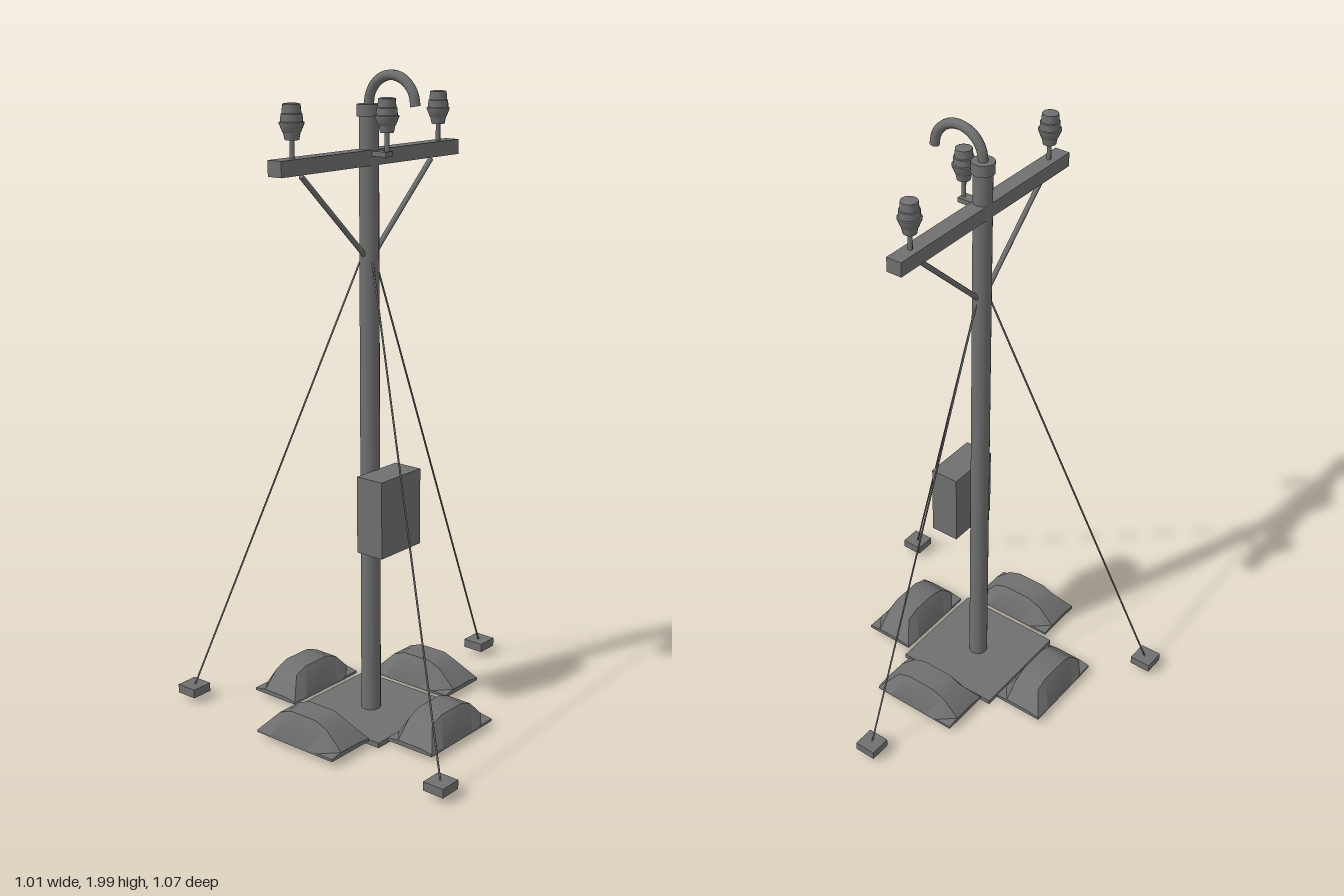
import * as THREE from 'three';
import { toCreasedNormals } from 'three/addons/utils/BufferGeometryUtils.js';

const darkGrey = new THREE.MeshStandardMaterial({ color: 0x6f6f6f });
const POLE_X = -0.11;

export function createModel() {
  const model = new THREE.Group();
  model.name = 'utilityPole';

  const add = (name, geometry, x = 0, y = 0, z = 0) => {
    const mesh = new THREE.Mesh(geometry, darkGrey);
    mesh.name = name;
    mesh.position.set(x, y, z);
    model.add(mesh);
    return mesh;
  };
  const box = (name, w, h, d, x, y, z) => add(name, new THREE.BoxGeometry(w, h, d), x, y, z);

  // Round bar between two points
  const bar = (name, from, to, radius, sides = 8) => {
    const a = new THREE.Vector3(...from);
    const b = new THREE.Vector3(...to);
    const dir = b.clone().sub(a);
    const mesh = add(name, new THREE.CylinderGeometry(radius, radius, dir.length(), sides));
    mesh.position.copy(a).add(b).multiplyScalar(0.5);
    mesh.quaternion.setFromUnitVectors(new THREE.Vector3(0, 1, 0), dir.normalize());
  };

  // Base plate, pole and cap
  box('basePlate', 0.36, 0.016, 0.36, POLE_X, 0.013, 0);
  add('pole', new THREE.CylinderGeometry(0.029, 0.031, 1.87, 16), POLE_X, 0.95, 0);
  add('poleCap', new THREE.CylinderGeometry(0.035, 0.035, 0.035, 16), POLE_X, 1.883, 0);

  // Crossarm with diagonal braces
  box('crossarm', 0.792, 0.045, 0.05, POLE_X, 1.75, 0);
  for (const s of [-1, 1]) {
    bar('crossarmBrace', [POLE_X + s * 0.015, 1.46, 0], [POLE_X + s * 0.29, 1.72, 0], 0.008);
  }

  // Stepped insulators on pins, widest below the middle
  const insulatorProfile = [
    [0, 0], [0.02, 0], [0.024, 0.02], [0.026, 0.022], [0.035, 0.044], [0.035, 0.048],
    [0.031, 0.05], [0.03, 0.07], [0.027, 0.072], [0.025, 0.096], [0.02, 0.098], [0, 0.098],
  ].map(([r, y]) => new THREE.Vector2(r, y));
  const insulatorShape = toCreasedNormals(new THREE.LatheGeometry(insulatorProfile, 16), 0.5);
  const insulator = (x, z) => {
    bar('insulatorPin', [x, 1.76, z], [x, 1.83, z], 0.007);
    add('insulator', insulatorShape, x, 1.823, z);
  };
  insulator(-0.435, 0);
  insulator(0.215, 0);
  insulator(POLE_X, 0.067);
  box('insulatorBracket', 0.035, 0.015, 0.055, POLE_X, 1.762, 0.048);

  // Curved service entry pipe on the pole top
  const points = [new THREE.Vector3(POLE_X, 1.84, 0)];
  for (let i = 0; i <= 8; i++) {
    const a = Math.PI * (1 - i / 8);
    points.push(new THREE.Vector3(POLE_X, 1.9 + 0.085 * Math.sin(a), 0.085 + 0.085 * Math.cos(a)));
  }
  const path = new THREE.CatmullRomCurve3(points);
  add('gooseneckPipe', new THREE.TubeGeometry(path, 24, 0.015, 10));
  const end = add('gooseneckEnd', new THREE.CircleGeometry(0.015, 10), POLE_X, 1.9, 0.17);
  end.rotation.x = Math.PI / 2;

  // Equipment box on the pole front
  box('equipmentBox', 0.184, 0.24, 0.096, POLE_X, 0.69, 0.073);

  // Guy wires and ground anchors
  for (const [x, z] of [[0.467, 0], [-0.4, 0.5], [-0.4, -0.5]]) {
    box('guyAnchor', 0.071, 0.028, 0.071, x, 0.04, z);
    const dir = new THREE.Vector2(x - POLE_X, z).normalize();
    bar('guyWire', [POLE_X + dir.x * 0.022, 1.46, dir.y * 0.022], [x, 0.045, z], 0.003, 6);
  }

  // Ballast bags, two along each axis
  const bag = ballastBag();
  for (let i = 0; i < 4; i++) {
    const a = (i * Math.PI) / 2;
    const mesh = add('ballastBag', bag, POLE_X + 0.275 * Math.sin(a), 0.023, 0.275 * Math.cos(a));
    mesh.rotation.y = a;
  }
  return model;
}

// Sloped sack lofted from trapezoid sections: [x, height]
function ballastBag() {
  const sections = [
    [-0.151, 0.014], [-0.095, 0.068], [-0.05, 0.085],
    [0.05, 0.085], [0.095, 0.068], [0.151, 0.014],
  ];
  const lip = 0.008;
  const bottom = 0.085;
  const top = 0.043;
  const positions = [];
  const index = [];
  sections.forEach(([x, h], i) => {
    positions.push(x, 0, bottom, x, lip, bottom, x, h, top, x, h, -top, x, lip, -bottom, x, 0, -bottom);
    if (i === 0) return;
    for (let j = 0; j < 6; j++) {
      const k = (j + 1) % 6;
      const a = (i - 1) * 6 + j, b = i * 6 + j, c = i * 6 + k, d = (i - 1) * 6 + k;
      index.push(a, b, c, a, c, d);
    }
  });
  // End caps
  const last = (sections.length - 1) * 6;
  for (let j = 1; j < 5; j++) {
    index.push(0, j, j + 1);
    index.push(last, last + j + 1, last + j);
  }
  const geometry = new THREE.BufferGeometry();
  geometry.setAttribute('position', new THREE.Float32BufferAttribute(positions, 3));
  geometry.setIndex(index);
  return toCreasedNormals(geometry, 0.6);
}
